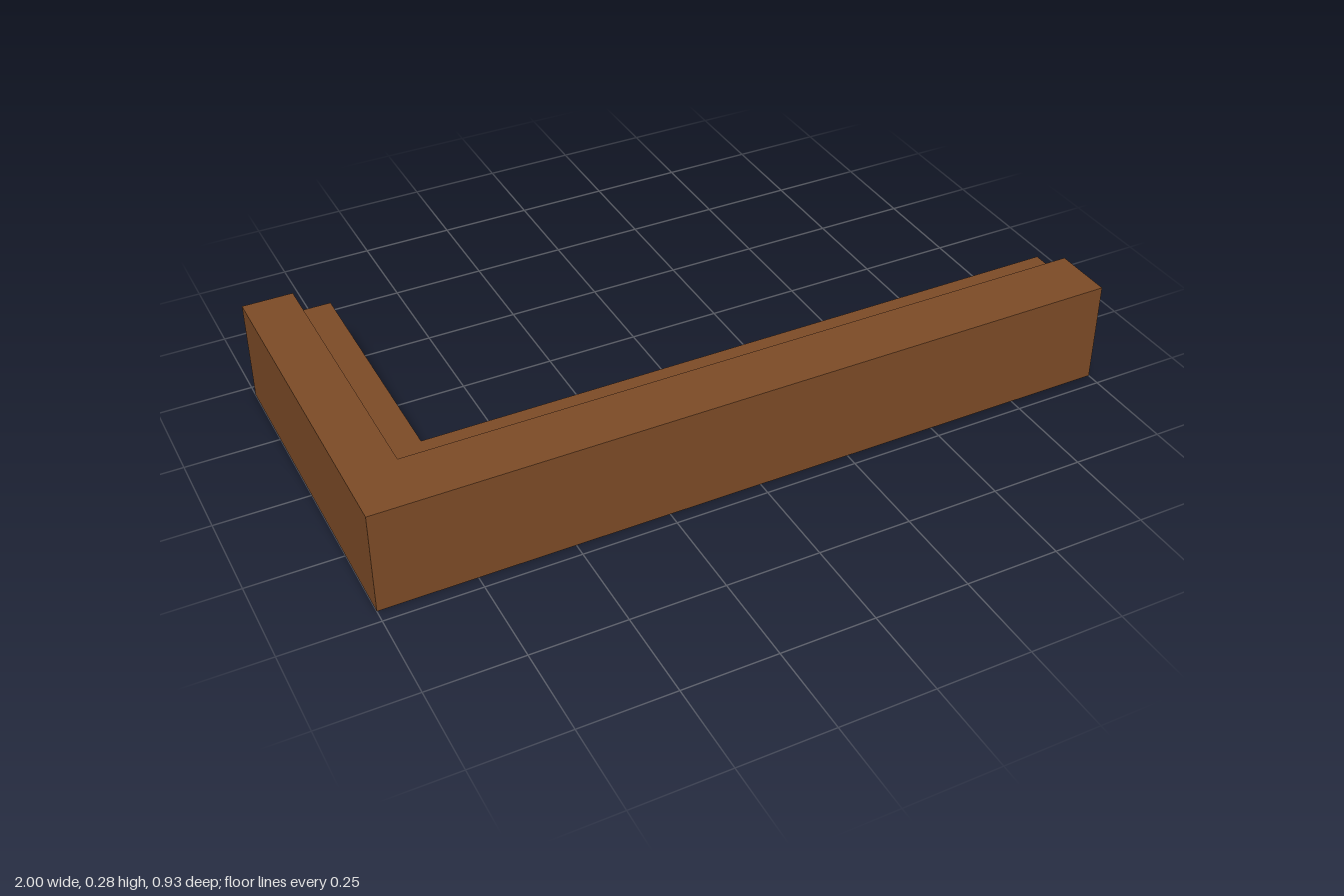
import * as THREE from 'three';

// Moulding profile, counterclockwise: [depth on short arm, depth on long arm, height]
const PROFILE = [
  [0, 0, 0],
  [0.135, 0.136, 0],          // body
  [0.135, 0.136, 0.197],
  [0.229, 0.272, 0.197],      // shelf
  [0.229, 0.272, 0.221],
  [0.107, 0.128, 0.221],      // groove
  [0.107, 0.128, 0.266],
  [0.134, 0.161, 0.266],      // lip
  [0.134, 0.161, 0.28],
  [0, 0, 0.28],
];
const HALF_X = 1, HALF_Z = 0.464;

// Sweep the profile along the L: short arm end, mitred corner, long arm end
function sweepCorner() {
  const stations = [
    (a, b, y) => [-HALF_X + a, y, -HALF_Z],
    (a, b, y) => [-HALF_X + a, y, HALF_Z - b],
    (a, b, y) => [HALF_X, y, HALF_Z - b],
  ];
  const n = PROFILE.length;
  const positions = stations.flatMap(place => PROFILE.flatMap(p => place(...p)));
  const index = [];
  for (let s = 0; s < stations.length - 1; s++) {
    for (let i = 0; i < n; i++) {
      const j = (i + 1) % n;
      const a = s * n + i, b = s * n + j, c = b + n, d = a + n;
      index.push(a, b, c, a, c, d);
    }
  }
  // End faces
  const outline = PROFILE.map(([, b, y]) => new THREE.Vector2(b, y));
  const last = (stations.length - 1) * n;
  for (const [i, j, k] of THREE.ShapeUtils.triangulateShape(outline, [])) {
    index.push(i, k, j, last + i, last + j, last + k);
  }
  const indexed = new THREE.BufferGeometry();
  indexed.setAttribute('position', new THREE.Float32BufferAttribute(positions, 3));
  indexed.setIndex(index);
  const geometry = indexed.toNonIndexed();
  geometry.computeVertexNormals();
  return geometry;
}

export function createModel() {
  const group = new THREE.Group();
  group.name = 'cornerMoulding';
  const wood = new THREE.MeshStandardMaterial({ color: 0x7b4a26 });

  const moulding = new THREE.Mesh(sweepCorner(), wood);
  moulding.name = 'mouldingRail';
  group.add(moulding);

  // Thin stop closing the groove at the free end of the long arm
  const stop = new THREE.Mesh(new THREE.BoxGeometry(0.01, 0.045, 0.033), wood);
  stop.name = 'grooveStop';
  stop.position.set(HALF_X - 0.005, 0.2435, HALF_Z - 0.1445);
  group.add(stop);

  return group;
}
